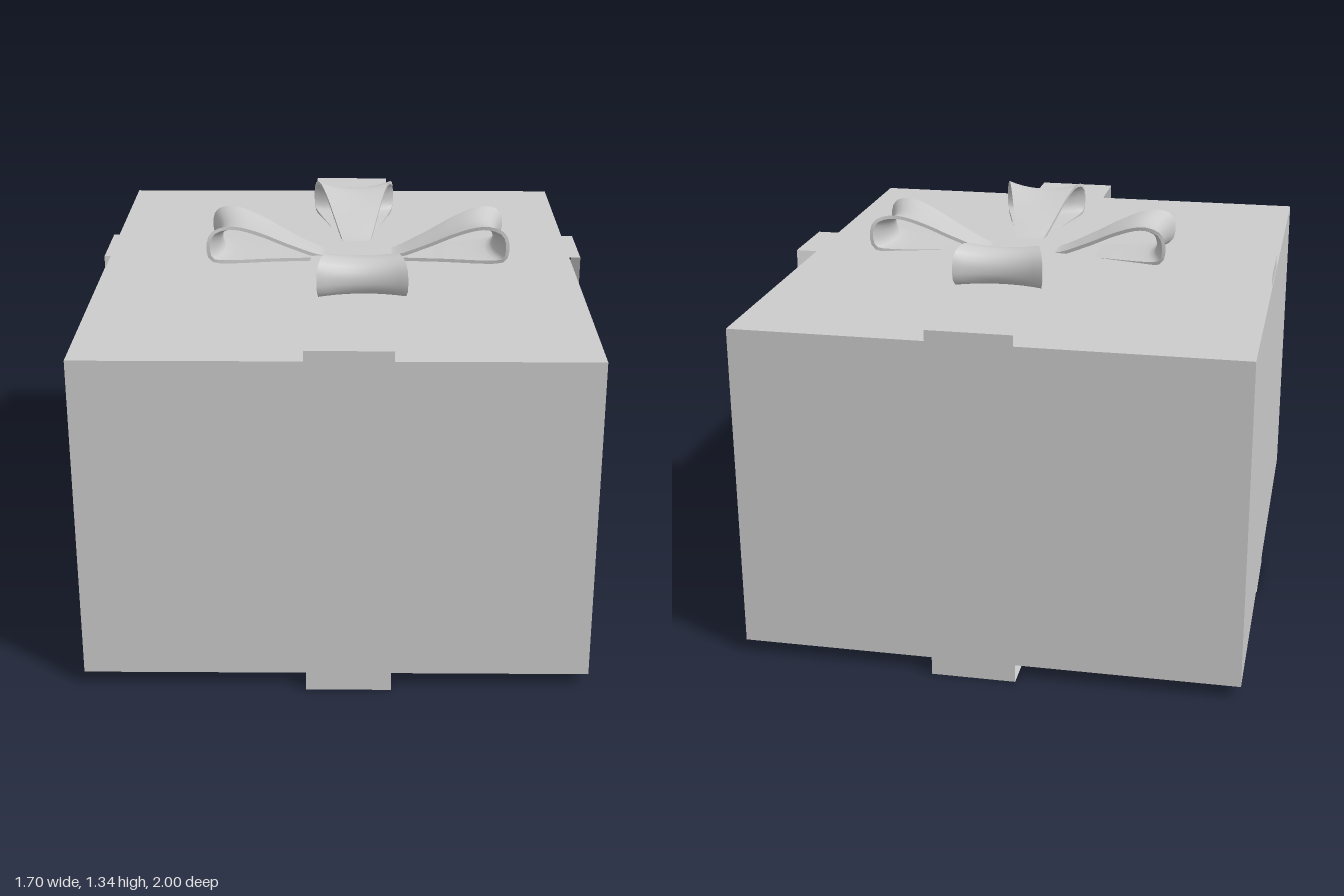
import * as THREE from 'three';
import { toCreasedNormals } from 'three/addons/utils/BufferGeometryUtils.js';

const grey = new THREE.MeshStandardMaterial({ color: 0xcccccc });
const thin = new THREE.MeshStandardMaterial({ color: 0xcccccc, side: THREE.DoubleSide });

// Box given by its minimum and maximum corners
function boxBetween(min, max) {
  const geo = new THREE.BoxGeometry(max[0] - min[0], max[1] - min[1], max[2] - min[2]);
  geo.translate((min[0] + max[0]) / 2, (min[1] + max[1]) / 2, (min[2] + max[2]) / 2);
  return geo;
}

// Flat band wrapped round the box: a box without the two side faces
function band(name, min, max, firstIndex) {
  const geo = boxBetween(min, max);
  geo.setIndex(Array.from(geo.index.array).slice(firstIndex, firstIndex + 24));
  geo.clearGroups();
  const mesh = new THREE.Mesh(geo, thin);
  mesh.name = name;
  return mesh;
}

// One bow loop along +x: a flaring ribbon of slight thickness, swept along a looped side profile
function bowLoopGeometry() {
  const reach = 0.525, thickness = 0.012, rows = 48, cols = 10;
  const profile = new THREE.SplineCurve([
    [0, 1.202], [0.12, 1.207], [0.24, 1.255], [0.33, 1.298], [0.41, 1.328], [0.465, 1.332],
    [0.508, 1.312], [0.522, 1.265], [0.508, 1.217], [0.45, 1.203], [0.3, 1.197], [0.15, 1.19], [0, 1.188],
  ].map(([u, y]) => new THREE.Vector2(u, y)));

  const positions = [], index = [], ring = 2 * (cols + 1);
  for (let i = 0; i <= rows; i++) {
    const p = profile.getPointAt(i / rows);
    const t = profile.getTangentAt(i / rows);
    const k = Math.max(p.x, 0) / reach;
    const half = 0.028 + 0.125 * Math.pow(k, 1.2);
    for (let j = 0; j < ring; j++) {
      const inner = j > cols;
      const v = inner ? 1 - 2 * (j - cols - 1) / cols : -1 + 2 * j / cols;
      const off = inner ? thickness : 0;
      // the corners of the ribbon flare outward and upward
      const flare = v * v - 0.7;
      const lift = 0.02 * flare * k * THREE.MathUtils.smoothstep(p.y, 1.21, 1.33);
      positions.push(
        p.x + t.y * off + 0.035 * flare * k * k,
        p.y - t.x * off + lift,
        v * half,
      );
    }
  }
  for (let i = 0; i < rows; i++) {
    for (let j = 0; j < ring; j++) {
      const n = (j + 1) % ring;
      const a = i * ring + j, b = i * ring + n, c = a + ring, d = b + ring;
      index.push(a, b, c, b, d, c);
    }
  }
  const geo = new THREE.BufferGeometry();
  geo.setAttribute('position', new THREE.Float32BufferAttribute(positions, 3));
  geo.setIndex(index);
  return toCreasedNormals(geo, 0.8);
}

export function createModel() {
  const model = new THREE.Group();
  model.name = 'giftBox';

  // Box
  const box = new THREE.Mesh(boxBetween([-0.855, 0.046, -0.972], [0.827, 1.162, 0.97]), grey);
  box.name = 'box';
  model.add(box);

  // Crossing ribbon bands, open at their sides
  model.add(band('lengthwiseRibbon', [-0.114, 0, -1], [0.169, 1.208, 1], 12));
  model.add(band('crosswiseRibbon', [-0.853, 0, -0.198], [0.848, 1.208, 0.062], 0));

  // Bow of four loops
  const bow = new THREE.Group();
  bow.name = 'bow';
  bow.position.set(0.053, 0, -0.006);
  const loop = bowLoopGeometry();
  [0.01, Math.PI / 2 + 0.03, Math.PI, -Math.PI / 2 + 0.03].forEach((angle, i) => {
    const mesh = new THREE.Mesh(loop, thin);
    mesh.name = 'bowLoop' + (i + 1);
    mesh.rotation.y = angle;
    bow.add(mesh);
  });
  model.add(bow);

  return model;
}
